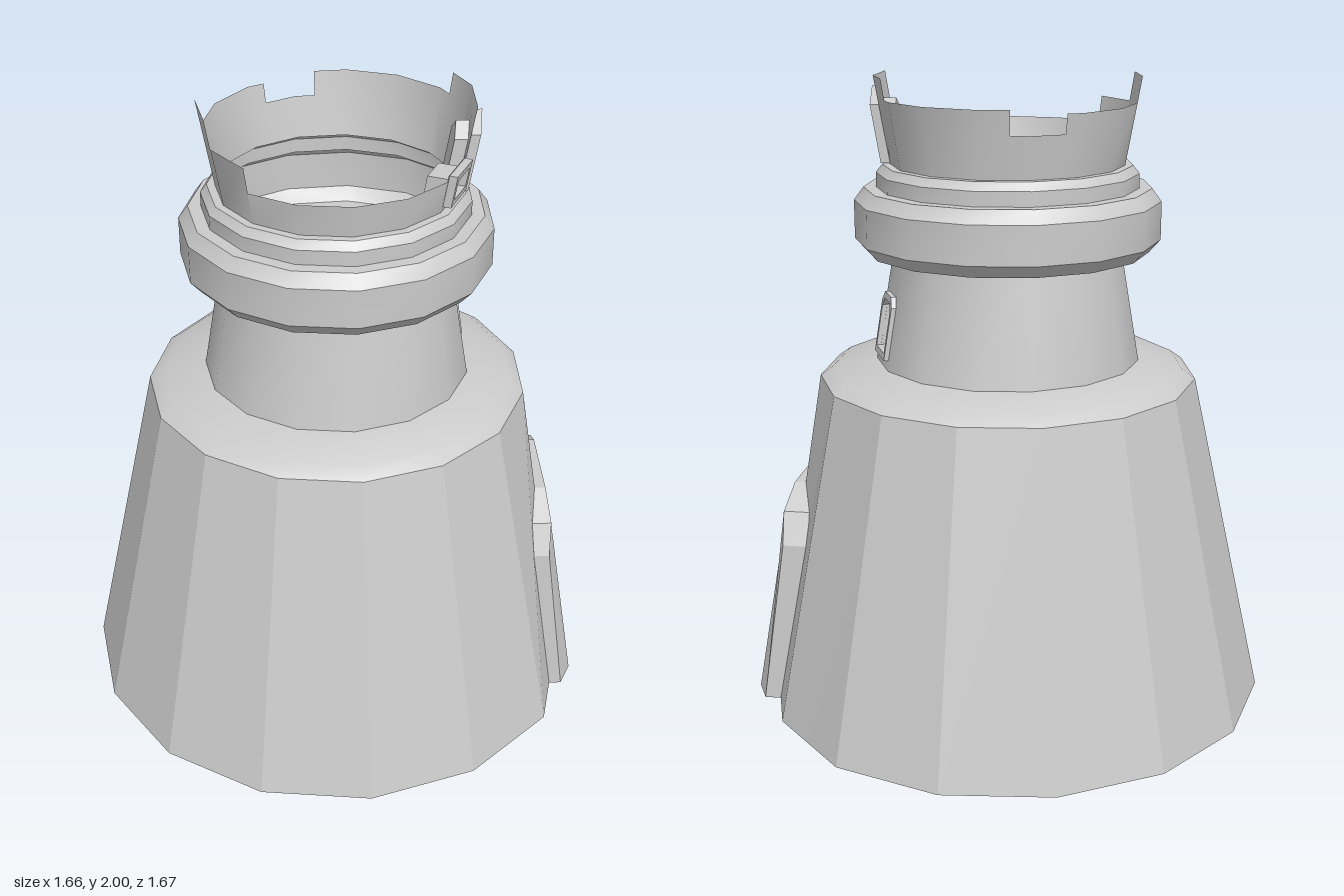
import * as THREE from 'three';
import { toCreasedNormals } from 'three/addons/utils/BufferGeometryUtils.js';

const STEP = 24; // fifteen sides
const rad = THREE.MathUtils.degToRad;
const APOTHEM = Math.cos(rad(STEP / 2));
const material = new THREE.MeshStandardMaterial({ color: 0xcccccc, side: THREE.DoubleSide });

// Point on the ring of a fifteen-sided tower of corner radius r
function ringPoint(deg, r, y) {
  const mid = Math.floor(deg / STEP) * STEP + STEP / 2;
  const d = r * APOTHEM / Math.cos(rad(deg - mid));
  return [d * Math.cos(rad(deg)), y, d * Math.sin(rad(deg))];
}

// Sideways t, height y, outward n on the side facing deg
function facetPoint(deg, t, y, n) {
  const c = Math.cos(rad(deg)), s = Math.sin(rad(deg));
  return [n * c + t * s, y, n * s - t * c];
}

function quad(out, a, b, c, d) {
  out.push(...a, ...b, ...c, ...a, ...c, ...d);
}

// Mirrors the right half of an opening, from its foot to its top
function outline(half) {
  const left = half.filter(p => p[0] > 0).reverse().map(([t, y]) => [-t, y]);
  return [...half, ...left].map(([t, y]) => new THREE.Vector2(t, y));
}

// Triangles of a flat shape, each corner placed by a function
function fill(out, shape, place) {
  const g = new THREE.ShapeGeometry(shape).toNonIndexed();
  const p = g.attributes.position;
  for (let i = 0; i < p.count; i++) out.push(...place(p.getX(i), p.getY(i)));
}

function makeMesh(name, positions, crease) {
  const g = new THREE.BufferGeometry();
  g.setAttribute('position', new THREE.Float32BufferAttribute(positions, 3));
  const m = new THREE.Mesh(toCreasedNormals(g, crease), material);
  m.name = name;
  return m;
}

// One side of a wall with a blind opening set into it
function recessedFacet(out, o, [r0, y0], [r1, y1]) {
  const slope = (r1 - r0) * APOTHEM / (y1 - y0);
  const n = y => r0 * APOTHEM + slope * (y - y0);
  const s = Math.sin(rad(STEP / 2));
  const panel = new THREE.Shape([[-r0 * s, y0], [r0 * s, y0], [r1 * s, y1], [-r1 * s, y1]]
    .map(p => new THREE.Vector2(...p)));
  const pts = outline(o.half);
  panel.holes.push(new THREE.Path(pts));
  const front = (t, y) => facetPoint(o.angle, t, y, n(y));
  const back = (t, y) => facetPoint(o.angle, t, y, n(y) - o.depth);
  fill(out, panel, front);
  fill(out, new THREE.Shape(pts), back);
  pts.forEach((a, i) => {
    if (o.open && i === pts.length - 1) return;
    const b = pts[(i + 1) % pts.length];
    quad(out, front(a.x, a.y), front(b.x, b.y), back(b.x, b.y), back(a.x, a.y));
  });
}

// Faceted ring wall from a profile of [radius, height]
function wall(name, rows, crease, opening, radiusAt = (deg, r) => r) {
  const out = [];
  for (let j = 0; j < rows.length - 1; j++) {
    for (let k = -7; k <= 7; k++) {
      const a = k * STEP, b = a + STEP;
      const pt = (deg, [r, y]) => ringPoint(deg, radiusAt(deg, r, y), y);
      if (opening && j === 0 && a + STEP / 2 === opening.angle) {
        const [lo, hi] = [rows[0], rows[1]].map(([r, y]) => [radiusAt(a, r, y), y]);
        recessedFacet(out, opening, lo, hi);
      } else {
        quad(out, pt(b, rows[j]), pt(a, rows[j]), pt(a, rows[j + 1]), pt(b, rows[j + 1]));
      }
    }
  }
  return makeMesh(name, out, crease);
}

// Raised surround following the slope of the wall; an open one has no sill
function surround(name, { angle, outer, inner, n0, y0 = 0, slope, depth, fold = 1, open }) {
  const o = outline(outer), h = outline(inner);
  const shape = new THREE.Shape(open ? [...o, ...h.reverse()] : o);
  if (!open) shape.holes.push(new THREE.Path(h));
  const g = new THREE.ExtrudeGeometry(shape, { depth, bevelEnabled: false });
  const p = g.attributes.position;
  for (let i = 0; i < p.count; i++) {
    const t = p.getX(i), y = p.getY(i);
    const n = n0 + slope * (y - y0) + p.getZ(i) - 0.5 * Math.max(0, Math.abs(t) - fold);
    p.setXYZ(i, ...facetPoint(angle, t, y, n));
  }
  g.computeVertexNormals();
  const m = new THREE.Mesh(g, material);
  m.name = name;
  return m;
}

// Broken parapet: [start angle, end angle, top height]
const SKYLINE = [
  [-168, -160, 1.92], [-160, -135, 1.86], [-135, -64, 1.935], [-64, -24, 2],
  [-24, 0, 1.85], [0, 96, 1.83], [96, 121, 1.91], [121, 144, 2], [144, 192, 1.92],
];
const parapetRadius = y => 0.365 + 0.175 * (y - 1.73);

function parapet(openings) {
  const out = [];
  for (const [start, end, top] of SKYLINE) {
    for (let a = start; a < end;) {
      const b = Math.min(end, (Math.floor(a / STEP) + 1) * STEP);
      const lo = [parapetRadius(1.73), 1.73], hi = [parapetRadius(top), top];
      const opening = openings.find(o => o.angle - STEP / 2 === a && b - a === STEP);
      if (opening) {
        recessedFacet(out, opening, lo, hi);
      } else {
        // sample just inside the side so both ends lie on the same flat face
        const e = 1e-9;
        quad(out, ringPoint(b - e, ...lo), ringPoint(a, ...lo), ringPoint(a, ...hi), ringPoint(b - e, ...hi));
      }
      a = b;
    }
  }
  return makeMesh('parapet', out, 0.5);
}

export function createModel() {
  const tower = new THREE.Group();
  tower.name = 'ruinedTower';

  // Tapered base, drawn in a little around the doorway
  const doorway = {
    angle: -36, depth: 0.15, open: true,
    half: [[0.135, 0.001], [0.135, 0.34], [0.1, 0.38]],
  };
  const dent = (deg, r, y) => {
    if (y > 0) return r;
    return deg === -24 || deg === -48 ? 0.78 : deg === -72 ? 0.815 : r;
  };
  tower.add(wall('base', [[0.84, 0], [0.602, 1.055]], 0.1, doorway, dent));
  tower.add(wall('shoulder', [[0.602, 1.055], [0.56, 1.085], [0.42, 1.11]], 0.6));

  // Stepped door surrounds
  tower.add(surround('outerDoorFrame', {
    angle: -36, n0: 0.69, slope: -0.167, depth: 0.11, fold: 0.25, open: true,
    outer: [[0.33, 0], [0.3, 0.53], [0.255, 0.63], [0.14, 0.69]],
    inner: [[0.25, 0], [0.215, 0.54], [0.19, 0.57]],
  }));
  tower.add(surround('innerDoorFrame', {
    angle: -36, n0: 0.7, slope: -0.167, depth: 0.085, open: true,
    outer: [[0.26, 0], [0.225, 0.58]],
    inner: [[0.135, 0], [0.135, 0.34], [0.1, 0.38]],
  }));

  // Neck with its window
  const neckWindow = {
    angle: -60, depth: 0.1,
    half: [[0.055, 1.16], [0.055, 1.29], [0.035, 1.315]],
  };
  tower.add(wall('neck', [[0.42, 1.11], [0.36, 1.46]], 0.5, neckWindow));
  tower.add(surround('neckWindowFrame', {
    angle: -60, n0: 0.411, y0: 1.11, slope: -0.168, depth: 0.015,
    outer: [[0.07, 1.14], [0.07, 1.305], [0.045, 1.335]], inner: neckWindow.half,
  }));

  // Projecting band and upper ring
  tower.add(wall('band', [[0.36, 1.46], [0.445, 1.46], [0.48, 1.5], [0.48, 1.62], [0.45, 1.66], [0.41, 1.66]], 0.5));
  tower.add(wall('upperRing', [[0.41, 1.66], [0.41, 1.705], [0.39, 1.73], [0.365, 1.73]], 0.5));

  // Broken parapet with a small slot and a peaked niche
  const slot = { angle: -12, depth: 0.07, half: [[0.05, 1.765], [0.05, 1.825]] };
  const niche = { angle: -36, depth: 0.04, half: [[0.05, 1.75], [0.05, 1.885], [0, 1.925]] };
  tower.add(parapet([slot, niche]));
  const lean = { n0: 0.357, y0: 1.73, slope: 0.171 };
  tower.add(surround('slotFrame', {
    ...lean, angle: -12, depth: 0.025, outer: [[0.068, 1.745], [0.068, 1.845]], inner: slot.half,
  }));
  tower.add(surround('nicheFrame', {
    ...lean, angle: -36, depth: 0.03, outer: [[0.075, 1.732], [0.075, 1.91], [0, 1.96]], inner: niche.half,
  }));
  return tower;
}
